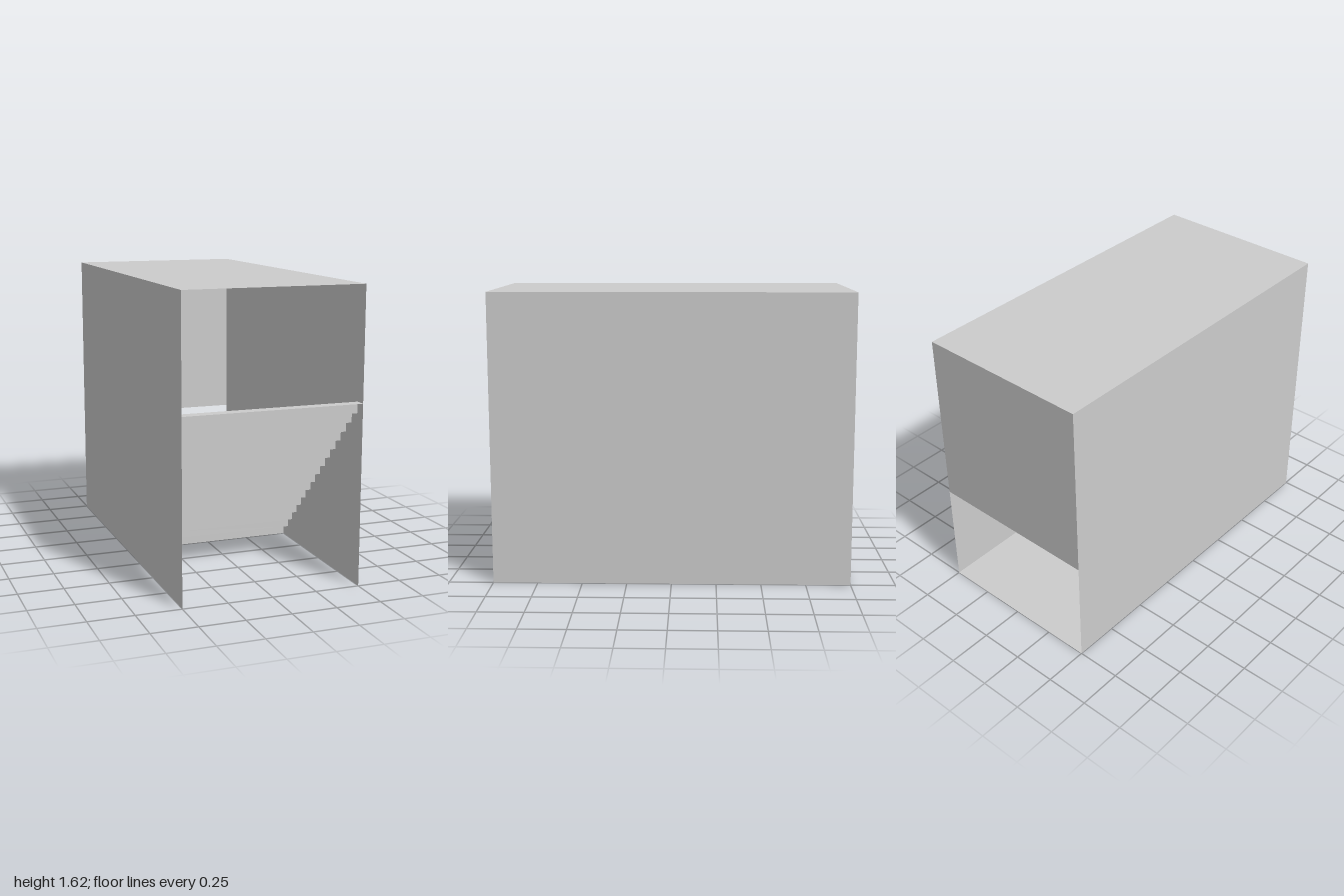
import * as THREE from 'three';

const WIDTH = 1, LENGTH = 2, HEIGHT = 1.625;
const STEPS = 16, STEP = 1 / STEPS;

export function createModel() {
  const group = new THREE.Group();
  const grey = new THREE.MeshStandardMaterial({ color: 0xcccccc, side: THREE.DoubleSide });
  grey.name = 'light grey';

  // one thin flat panel, facing +z before rotation
  function panel(name, w, h, position, rx = 0, ry = 0, parent = group) {
    const mesh = new THREE.Mesh(new THREE.PlaneGeometry(w, h), grey);
    mesh.name = name;
    mesh.position.set(...position);
    mesh.rotation.set(rx, ry, 0);
    parent.add(mesh);
  }

  // side walls
  panel('leftWall', LENGTH, HEIGHT, [WIDTH / 2, HEIGHT / 2, 0], 0, Math.PI / 2);
  panel('rightWall', LENGTH, HEIGHT, [-WIDTH / 2, HEIGHT / 2, 0], 0, -Math.PI / 2);

  // roof over the whole length, floor over the rear half
  panel('roof', WIDTH, LENGTH, [0, HEIGHT, 0], -Math.PI / 2);
  panel('floor', WIDTH, LENGTH / 2, [0, 0, -LENGTH / 4], -Math.PI / 2);

  // back wall above the doorway
  panel('backWall', WIDTH, 1, [0, HEIGHT - 0.5, -LENGTH / 2], 0, Math.PI);

  // stairs rising from the floor toward the open front
  const stairs = new THREE.Group();
  stairs.name = 'stairs';
  for (let i = 0; i < STEPS; i++) {
    panel('riser', WIDTH, STEP, [0, (i + 0.5) * STEP, i * STEP], 0, Math.PI, stairs);
    panel('tread', WIDTH, STEP, [0, (i + 1) * STEP, (i + 0.5) * STEP], -Math.PI / 2, 0, stairs);
  }
  group.add(stairs);

  return group;
}
